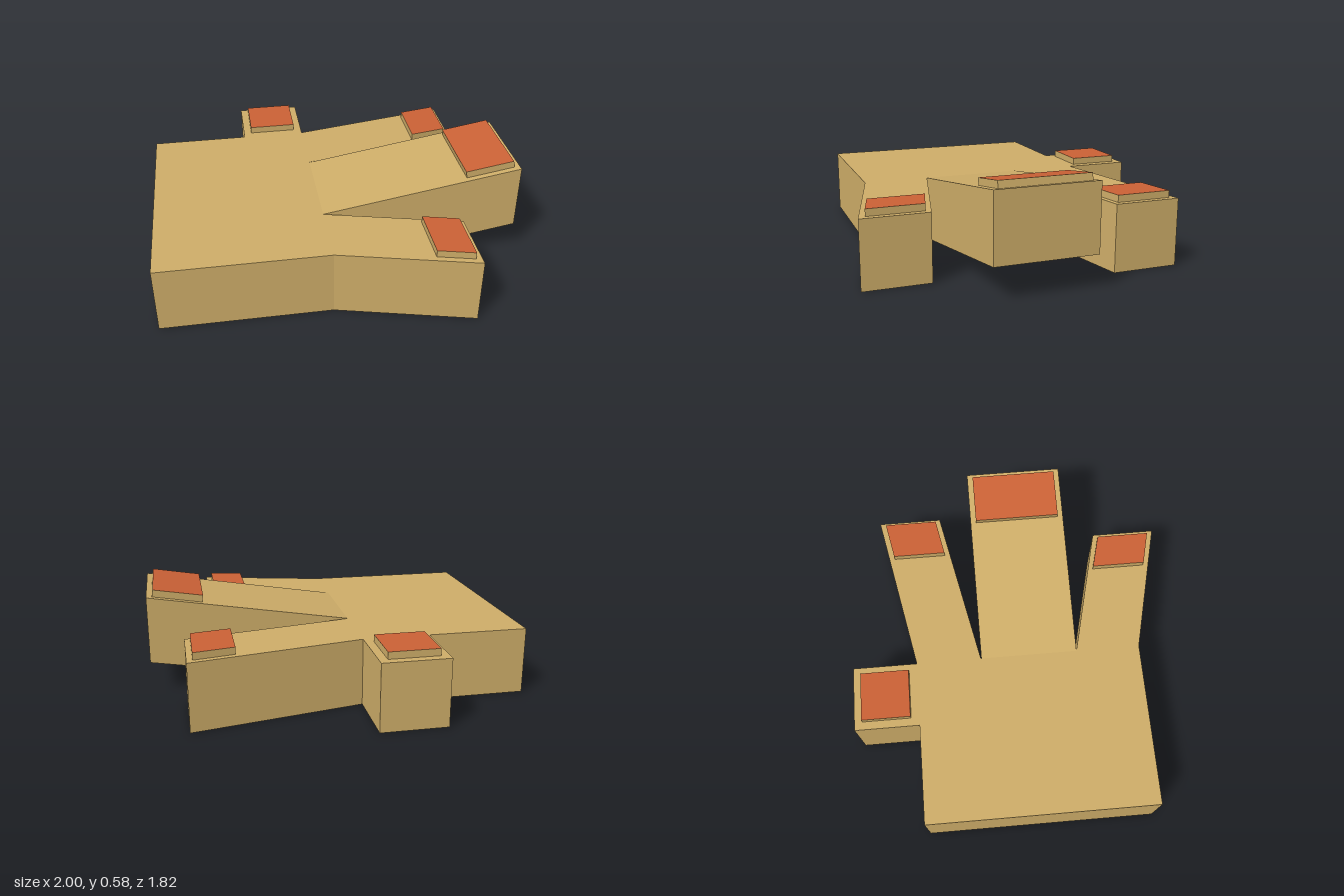
import * as THREE from 'three';

const tan = new THREE.MeshStandardMaterial({ color: 0xcfae69, flatShading: true });
const red = new THREE.MeshStandardMaterial({ color: 0xcc6236, flatShading: true });

const HEIGHT = 0.365;   // thickness of the palm and fingers
const KNUCKLE = -0.095; // x where the fingers leave the palm
const SLOPE = 0.1644;   // upward tilt of the middle finger

// Vertical prism over an outline of [x, z] points
function prism(name, outline, y, height, materials) {
  const shape = new THREE.Shape(outline.map(([x, z]) => new THREE.Vector2(x, -z)));
  const geometry = new THREE.ExtrudeGeometry(shape, { depth: height, bevelEnabled: false });
  geometry.rotateX(-Math.PI / 2).translate(0, y, 0);
  const mesh = new THREE.Mesh(geometry, materials);
  mesh.name = name;
  return mesh;
}

// Tilts a prism upward, starting at the knuckle line
function raise(mesh, lean = 0) {
  const p = mesh.geometry.attributes.position;
  for (let i = 0; i < p.count; i++) {
    const x = p.getX(i), y = p.getY(i);
    p.setXYZ(i, x - lean * (y - HEIGHT), y + SLOPE * (x - KNUCKLE), p.getZ(i));
  }
  mesh.geometry.computeVertexNormals();
  return mesh;
}

// Thin plate with a red top and tan edges
const nail = (name, outline) => prism(name, outline, HEIGHT, 0.038, [red, tan]);

export function createModel() {
  const hand = new THREE.Group();
  hand.name = 'hand';

  // Palm with thumb and the two splayed outer fingers
  hand.add(prism('palmAndOuterFingers', [
    [-1, -0.55], [-0.455, -0.55], [-0.455, -0.91], [KNUCKLE, -0.91], [KNUCKLE, -0.55],
    [0.815, -0.73], [0.815, -0.37], [KNUCKLE, -0.185],
    [KNUCKLE, 0.363], [0.632, 0.545], [0.632, 0.905], [KNUCKLE, 0.723], [-1, 0.723],
  ], 0, HEIGHT, tan));

  // Wide raised middle finger
  hand.add(raise(prism('middleFinger', [
    [KNUCKLE, -0.182], [1, -0.182], [1, 0.363], [KNUCKLE, 0.363],
  ], 0, HEIGHT, tan)));

  // Nails
  hand.add(nail('thumbNail', [[-0.41, -0.865], [-0.14, -0.865], [-0.14, -0.595], [-0.41, -0.595]]));
  hand.add(nail('backFingerNail', [[0.573, -0.65], [0.785, -0.692], [0.785, -0.393], [0.573, -0.352]]));
  hand.add(nail('frontFingerNail', [[0.41, 0.517], [0.6, 0.567], [0.6, 0.865], [0.41, 0.817]]));
  hand.add(raise(nail('middleFingerNail', [[0.705, -0.15], [0.97, -0.15], [0.97, 0.33], [0.705, 0.33]]), SLOPE));

  return hand;
}
